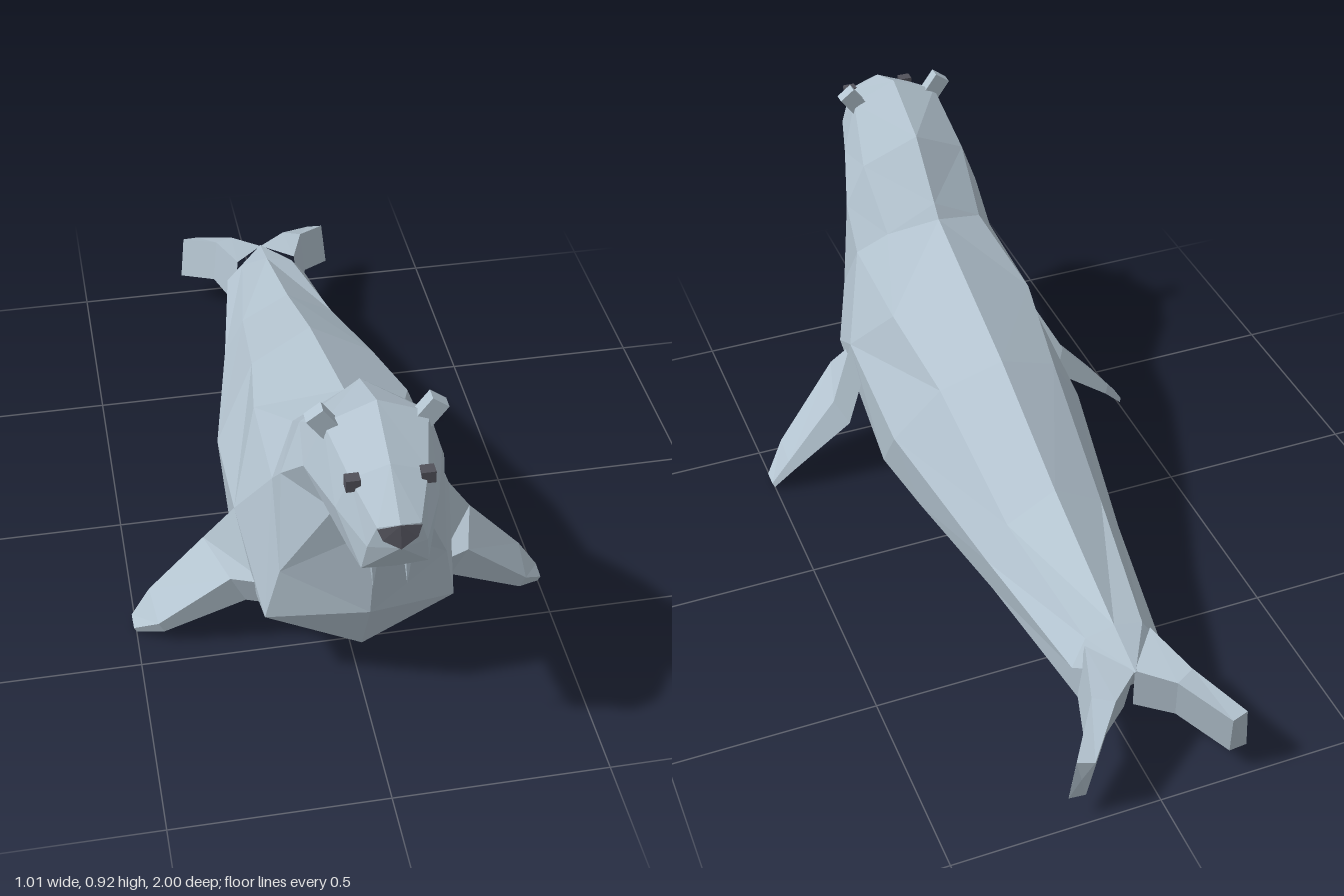
import * as THREE from 'three';

const flat = (name, color) => {
  const m = new THREE.MeshStandardMaterial({ color, flatShading: true });
  m.name = name;
  return m;
};

// Skins successive cross-sections; side = -1 mirrors the result across x.
function loft(rings, side, closed = false) {
  const pos = [];
  const tri = (a, b, c) => {
    const v = [a, b, c].map(p => new THREE.Vector3(p[0] * side, p[1], p[2]));
    const area = v[1].clone().sub(v[0]).cross(v[2].clone().sub(v[0])).length();
    if (area < 1e-9) return;
    if (side < 0) v.reverse();
    v.forEach(p => pos.push(p.x, p.y, p.z));
  };
  for (let i = 0; i < rings.length - 1; i++) {
    const r = rings[i], s = rings[i + 1], n = r.length;
    for (let j = 0; j < (closed ? n : n - 1); j++) {
      const k = (j + 1) % n;
      tri(r[j], s[j], s[k]);
      tri(r[j], s[k], r[k]);
    }
  }
  const g = new THREE.BufferGeometry();
  g.setAttribute('position', new THREE.Float32BufferAttribute(pos, 3));
  g.computeVertexNormals();
  return g;
}

// Tapering fin: each section has two upper edge points and a thickness
// that scales the offsets to the matching lower edge points.
function fin(sections, dropA, dropB, side) {
  const shift = (p, d, t) => p.map((v, k) => v + d[k] * t);
  const rings = sections.map(([a, b, t]) => [a, b, shift(b, dropB, t), shift(a, dropA, t)]);
  const tip = rings[rings.length - 1];
  const middle = [0, 1, 2].map(k => tip.reduce((sum, p) => sum + p[k], 0) / 4);
  rings.push(tip.map(() => middle));
  return loft(rings, side, true);
}

// Body contour lines from tail to muzzle; back and belly lie on x = 0
const onCentre = ([y, z]) => [0, y, z];
const back = [[0.285, -0.72], [0.405, -0.37], [0.545, -0.03], [0.69, 0.41], [0.72, 0.44],
  [0.845, 0.57], [0.92, 0.74], [0.867, 0.88], [0.797, 0.985]].map(onCentre);
const ridge = [[0.07, 0.27, -0.72], [0.12, 0.335, -0.37], [0.15, 0.475, 0],
  [0.183, 0.54, 0.25], [0.125, 0.65, 0.45], [0.135, 0.77, 0.6],
  [0.11, 0.875, 0.74], [0.08, 0.835, 0.875], [0.045, 0.787, 0.975]];
const flank = [[0.11, 0.21, -0.74], [0.17, 0.235, -0.37], [0.25, 0.3, 0.07],
  [0.255, 0.37, 0.4], [0.185, 0.56, 0.53], [0.18, 0.65, 0.62],
  [0.148, 0.75, 0.72], [0.108, 0.755, 0.865], [0.062, 0.73, 0.965]];
const lowerEdge = [[0.1, 0.128, -0.76], [0.15, 0.125, -0.35], [0.21, 0.127, 0],
  [0.24, 0.13, 0.2], [0.22, 0.225, 0.62], [0.19, 0.39, 0.65],
  [0.09, 0.655, 0.76], [0.085, 0.66, 0.88], [0.07, 0.66, 0.95]];
const belly = [[0.118, -0.76], [0.05, -0.35], [0.038, 0], [0.03, 0.24], [0.135, 0.65],
  [0.31, 0.73], [0.6, 0.78], [0.66, 0.88], [0.66, 0.955]].map(onCentre);

export function createModel() {
  const model = new THREE.Group();
  model.name = 'seaLion';
  const hide = flat('blueGreyHide', 0xb4c4d0);
  const dark = flat('darkNoseAndEyes', 0x51515a);
  const add = (name, geometry, material) => {
    const m = new THREE.Mesh(geometry, material);
    m.name = name;
    model.add(m);
    return m;
  };

  // Half sections across the contour lines, closed to a point at each end
  const body = [
    Array(5).fill([0, 0.25, -0.84]),
    ...back.map((p, i) => [p, ridge[i], flank[i], lowerEdge[i], belly[i]]),
    Array(5).fill([0, 0.745, 0.996]),
  ];

  // Front and rear edges of the flipper, shoulder to tip
  const flipper = [
    [[0.2, 0.26, 0.55], [0.255, 0.37, 0.4], 1.2],
    [[0.282, 0.247, 0.505], [0.325, 0.24, 0.345], 1.2],
    [[0.45, 0.072, 0.445], [0.46, 0.085, 0.335], 0.45],
    [[0.506, 0.014, 0.39], [0.507, 0.016, 0.345], 0.2],
  ];

  // Outer and inner edges of the tail fluke, root to tip
  const fluke = [
    [[0.08, 0.268, -0.74], [0, 0.25, -0.835], 1.1],
    [[0.122, 0.25, -0.875], [0.075, 0.245, -0.9], 1],
    [[0.205, 0.195, -0.99], [0.165, 0.19, -1], 1],
  ];

  // Thin nose plate over the muzzle tip
  const nose = [
    [[0, 0.799, 0.989], [0.046, 0.787, 0.98]],
    [[0, 0.745, 1], [0.036, 0.764, 0.99]],
  ];

  for (const side of [1, -1]) {
    const s = side > 0 ? 'left' : 'right';
    add(s + 'Body', loft(body, side), hide);
    add(s + 'Flipper', fin(flipper, [-0.03, -0.07, -0.01], [-0.025, -0.045, -0.03], side), hide);
    add(s + 'Fluke', fin(fluke, [0.012, -0.12, 0.01], [0.01, -0.12, 0.02], side), hide);
    add(s + 'Nose', loft(nose, side), dark);

    const ear = add(s + 'Ear', new THREE.BoxGeometry(0.044, 0.07, 0.03), hide);
    ear.position.set(side * 0.11, 0.88, 0.743);
    ear.rotation.z = -side * 0.64;

    const eye = add(s + 'Eye', new THREE.BoxGeometry(0.03, 0.028, 0.026), dark);
    eye.position.set(side * 0.077, 0.831, 0.882);

    const tusk = add(s + 'Tusk', new THREE.ConeGeometry(0.013, 0.1, 5), hide);
    tusk.position.set(side * 0.036, 0.616, 0.913);
    tusk.rotation.x = Math.PI;
  }
  return model;
}
